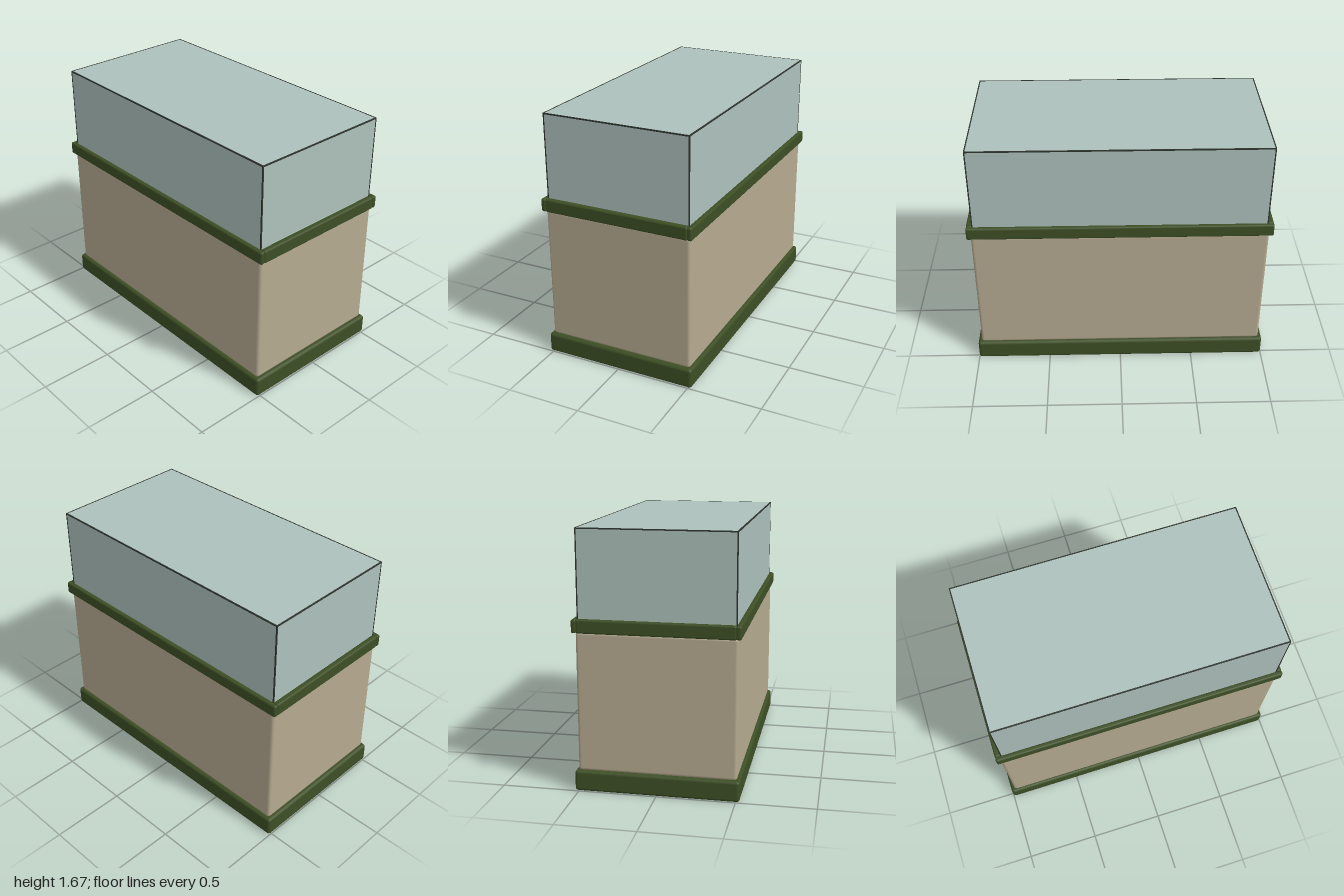
import * as THREE from 'three';
import { RoundedBoxGeometry } from 'three/addons/geometries/RoundedBoxGeometry.js';

const mat = (name, color) => {
  const m = new THREE.MeshStandardMaterial({ color });
  m.name = name;
  return m;
};

export function createModel() {
  const green = mat('dark green trim', 0x3d4f25);
  const beige = mat('beige cabinet', 0xb6ab91);
  const glass = mat('pale glass', 0xaec1bc);
  const seal = mat('dark seal', 0x30352f);
  const root = new THREE.Group();
  root.name = 'tankOnCabinet';

  const add = (name, geo, material, x, y, z) => {
    const mesh = new THREE.Mesh(geo, material);
    mesh.name = name;
    mesh.position.set(x, y, z);
    root.add(mesh);
  };
  const rounded = (name, m, w, h, d, r, x, y, z) =>
    add(name, new RoundedBoxGeometry(w, h, d, 2, r), m, x, y, z);
  const box = (name, m, w, h, d, x, y, z) =>
    add(name, new THREE.BoxGeometry(w, h, d), m, x, y, z);

  // Plinth and cabinet
  rounded('plinth', green, 1.05, 0.135, 2, 0.02, 0, 0.0675, 0);
  rounded('cabinet', beige, 1.01, 0.9, 1.95, 0.02, 0, 0.58, 0);

  // Glass tank, with its edges sealed
  const W = 0.99, D = 1.925, bottom = 1.02, top = 1.668, t = 0.008;
  const H = top - bottom, midY = (top + bottom) / 2;
  box('tank', glass, W - 0.002, H - 0.001, D - 0.002, 0, midY - 0.0005, 0);
  for (const sx of [-1, 1]) {
    const x = sx * (W - t) / 2;
    box('topSealSide', seal, t, t, D, x, top - t / 2, 0);
    for (const sz of [-1, 1])
      box('cornerSeal', seal, t, H - t, t, x, midY - t / 2, sz * (D - t) / 2);
  }
  for (const sz of [-1, 1])
    box('topSealEnd', seal, W - 2 * t, t, t, 0, top - t / 2, sz * (D - t) / 2);

  // Rim around the foot of the tank: long rails and end rails
  for (const s of [-1, 1]) {
    rounded('sideRail', green, 0.034, 0.086, 2, 0.012, s * 0.508, 1.068, 0);
    rounded('endRail', green, 0.99, 0.088, 0.04, 0.012, 0, 1.068, s * 0.98);
  }
  return root;
}
